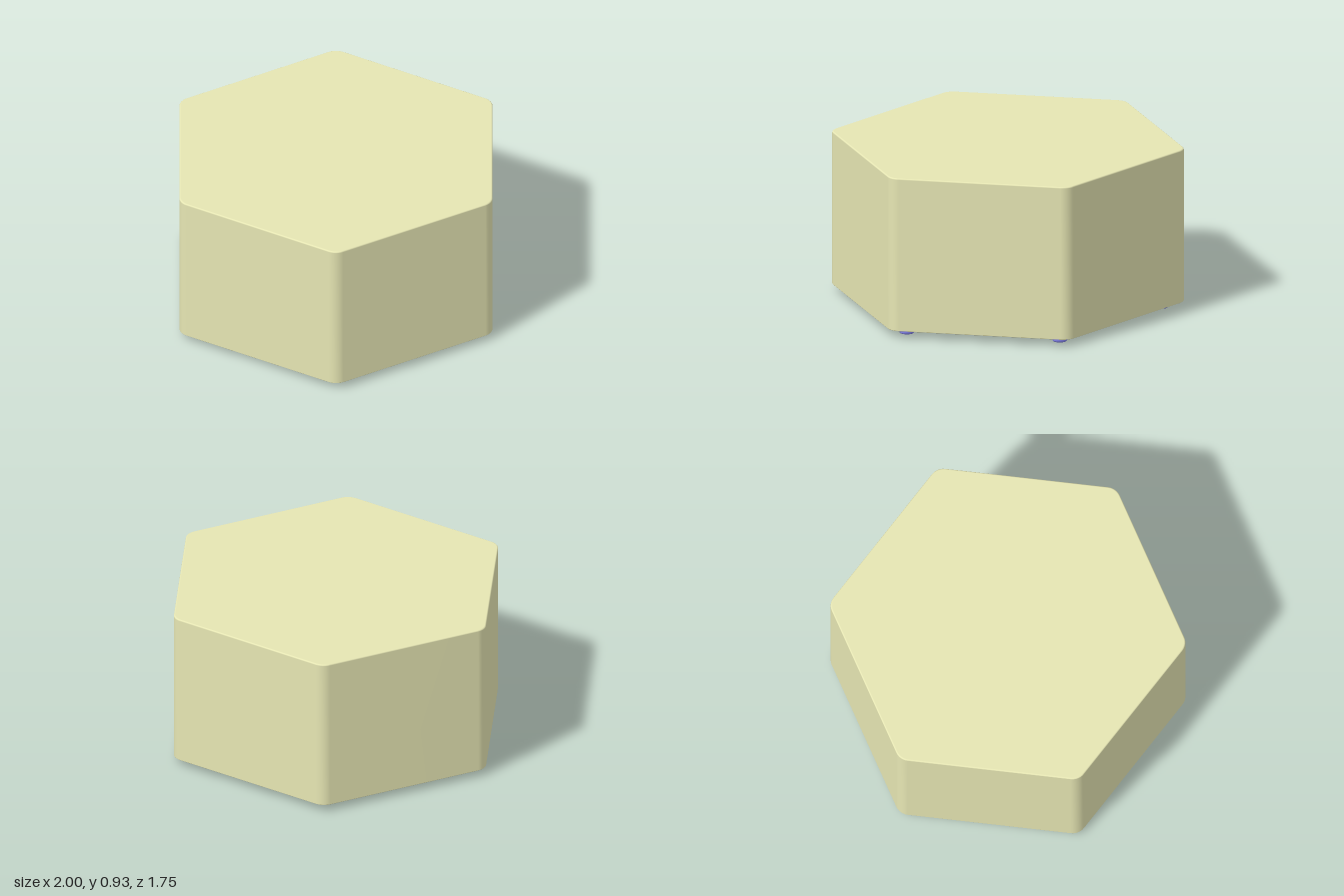
import * as THREE from 'three';

const CORNER = 0.08; // radius of the upright corners
const STEPS = 6;     // segments around each corner

// Rounded hexagon outline at a given apothem and height
function hexRing(apothem, y) {
  const r = Math.min(CORNER, apothem);
  const centre = (apothem - r) / Math.cos(Math.PI / 6);
  const ring = [];
  for (let k = 0; k < 6; k++) {
    const mid = k * Math.PI / 3;
    for (let s = 0; s <= STEPS; s++) {
      const a = mid + (s / STEPS - 0.5) * Math.PI / 3;
      ring.push(centre * Math.cos(mid) + r * Math.cos(a), y,
        -centre * Math.sin(mid) - r * Math.sin(a));
    }
  }
  return ring;
}

// Skin hexagon rings along a profile of [apothem, y] points
function hexLoft(profile) {
  const n = 6 * (STEPS + 1);
  const positions = profile.flatMap(([a, y]) => hexRing(a, y));
  const index = [];
  for (let i = 0; i < profile.length - 1; i++) {
    for (let j = 0; j < n; j++) {
      const k = (j + 1) % n;
      const a = i * n + j, b = a + n, c = (i + 1) * n + k, d = i * n + k;
      index.push(a, b, c, a, c, d);
    }
  }
  const geometry = new THREE.BufferGeometry();
  geometry.setAttribute('position', new THREE.Float32BufferAttribute(positions, 3));
  geometry.setIndex(index);
  geometry.computeVertexNormals();
  return geometry;
}

// Quarter-round edge from angle a0 to a1 (degrees)
function edge(apothem, y, r, a0, a1) {
  return [0, 1, 2, 3, 4].map((i) => {
    const t = THREE.MathUtils.degToRad(a0 + (a1 - a0) * i / 4);
    return [apothem + r * Math.cos(t), y + r * Math.sin(t)];
  });
}

export function createModel() {
  const model = new THREE.Group();
  model.name = 'hexagonalOttoman';
  const fabric = new THREE.MeshStandardMaterial({ color: 0xe6e6b3, side: THREE.DoubleSide });
  fabric.name = 'paleOlive';
  const metal = new THREE.MeshStandardMaterial({ color: 0x8080e6 });
  metal.name = 'violetBlue';

  const add = (name, geometry, material, parent = model) => {
    const mesh = new THREE.Mesh(geometry, material);
    mesh.name = name;
    parent.add(mesh);
  };

  // Thin hollow cover, open underneath, with a narrow lip turned in at the bottom
  add('cover', hexLoft([
    [0, 0.93],
    ...edge(0.867, 0.922, 0.008, 90, 0),
    ...edge(0.871, 0.044, 0.004, 0, -90),
    [0.79, 0.042],
  ]), fabric);

  // Six levelling feet with threaded stems, one near each corner
  const footParts = [ // name, top radius, bottom radius, bottom y, top y
    ['footBase', 0.043, 0.038, 0, 0.006],
    ['footPad', 0.043, 0.043, 0.006, 0.02],
    ['footShoulder', 0.036, 0.043, 0.02, 0.032],
    ['footNeck', 0.024, 0.024, 0.032, 0.042],
    ['footStem', 0.014, 0.014, 0.042, 0.135],
  ].map(([name, top, bottom, y0, y1]) => ({
    name,
    geometry: new THREE.CylinderGeometry(top, bottom, y1 - y0, 24).translate(0, (y0 + y1) / 2, 0),
  }));
  for (let k = 0; k < 6; k++) {
    const foot = new THREE.Group();
    foot.name = 'foot' + (k + 1);
    const a = k * Math.PI / 3;
    foot.position.set(0.87 * Math.cos(a), 0, 0.87 * Math.sin(a));
    for (const part of footParts) add(part.name, part.geometry, metal, foot);
    model.add(foot);
  }
  return model;
}
